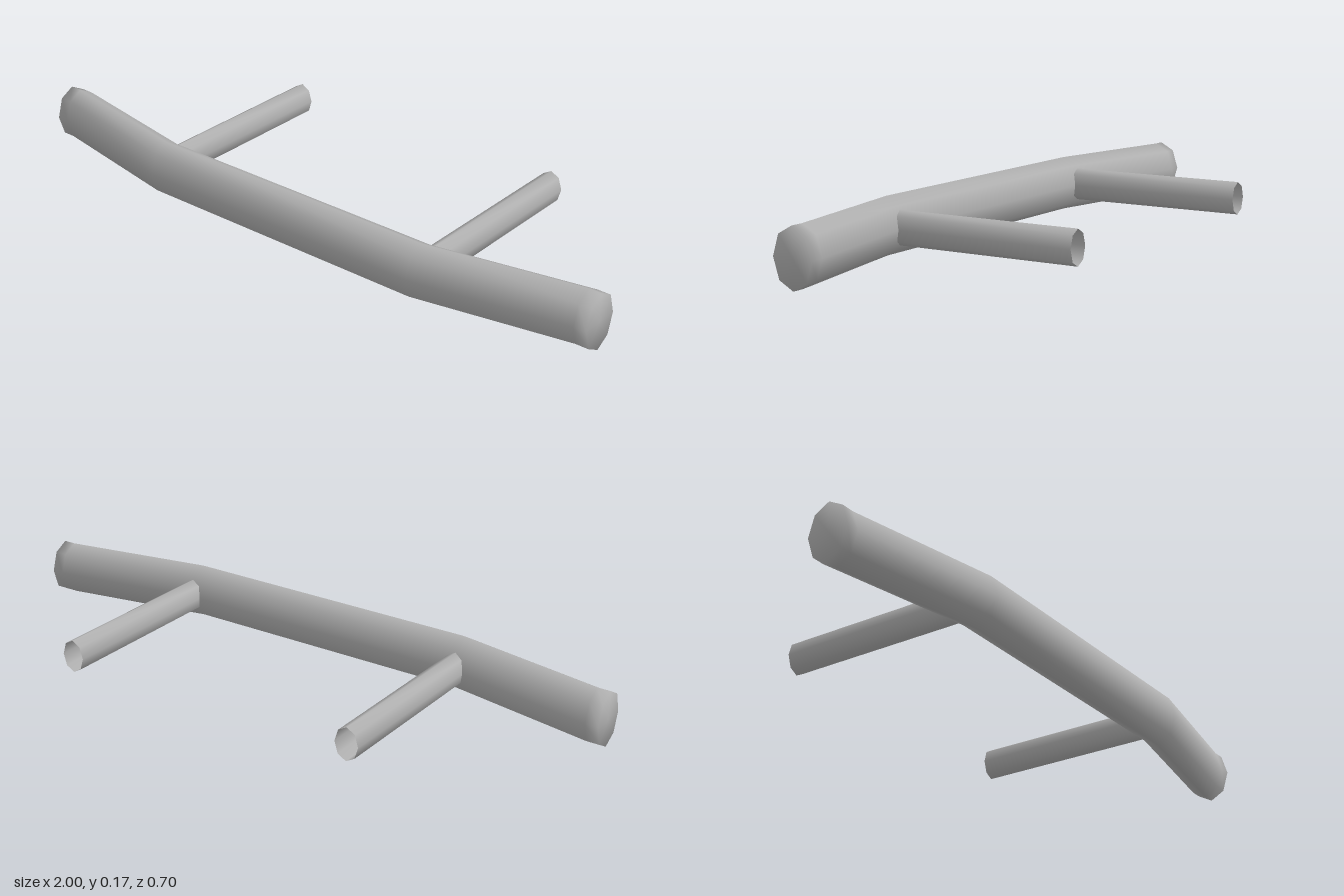
import * as THREE from 'three';

const SIDES = 8;
const MID_Y = 0.0865;

// Skin of elliptical rings; each ring gives a centre and two axes for its ellipse
function loft(rings, capped) {
  const pos = [], idx = [];
  for (const { c, u, v } of rings) {
    for (let i = 0; i < SIDES; i++) {
      const a = (i / SIDES) * Math.PI * 2;
      const p = c.clone().addScaledVector(u, Math.cos(a)).addScaledVector(v, Math.sin(a));
      pos.push(p.x, p.y, p.z);
    }
  }
  for (let r = 0; r < rings.length - 1; r++) {
    for (let i = 0; i < SIDES; i++) {
      const a = r * SIDES + i, b = r * SIDES + (i + 1) % SIDES;
      idx.push(a, b, b + SIDES, a, b + SIDES, a + SIDES);
    }
  }
  if (capped) {
    // End caps share the ring corners, so their shading stays soft
    const last = (rings.length - 1) * SIDES;
    for (const [start, flip] of [[0, true], [last, false]]) {
      const centre = pos.length / 3;
      const { c } = rings[start / SIDES];
      pos.push(c.x, c.y, c.z);
      for (let i = 0; i < SIDES; i++) {
        const a = start + i, b = start + (i + 1) % SIDES;
        if (flip) idx.push(centre, b, a);
        else idx.push(centre, a, b);
      }
    }
  }
  const geo = new THREE.BufferGeometry();
  geo.setAttribute('position', new THREE.Float32BufferAttribute(pos, 3));
  geo.setIndex(idx);
  geo.computeVertexNormals();
  return geo;
}

export function createModel() {
  const model = new THREE.Group();
  model.name = 'bumperBar';

  const steel = new THREE.MeshStandardMaterial({ color: 0xb0b0b0 });
  steel.name = 'greySteel';
  steel.side = THREE.DoubleSide;

  // Main bar: straight middle, swept-back arms, short straight tips
  const path = [[-1, 0.194], [-0.96, 0.194], [-0.483, 0.285], [0.483, 0.285], [0.96, 0.194], [1, 0.194]];
  const barRings = path.map(([x, z]) => ({
    c: new THREE.Vector3(x, MID_Y, z),
    u: new THREE.Vector3(0, 0.0865, 0),
    v: new THREE.Vector3(0, 0, 0.065),
  }));
  const bar = new THREE.Mesh(loft(barRings, true), steel);
  bar.name = 'mainBar';
  model.add(bar);

  // Two open mounting tubes running backwards
  for (const side of [-1, 1]) {
    const tubeRings = [-0.352, 0.26].map((z) => ({
      c: new THREE.Vector3(side * 0.488, MID_Y, z),
      u: new THREE.Vector3(0.038, 0, 0),
      v: new THREE.Vector3(0, 0.0515, 0),
    }));
    const tube = new THREE.Mesh(loft(tubeRings, false), steel);
    tube.name = side > 0 ? 'leftMount' : 'rightMount';
    model.add(tube);
  }
  return model;
}
